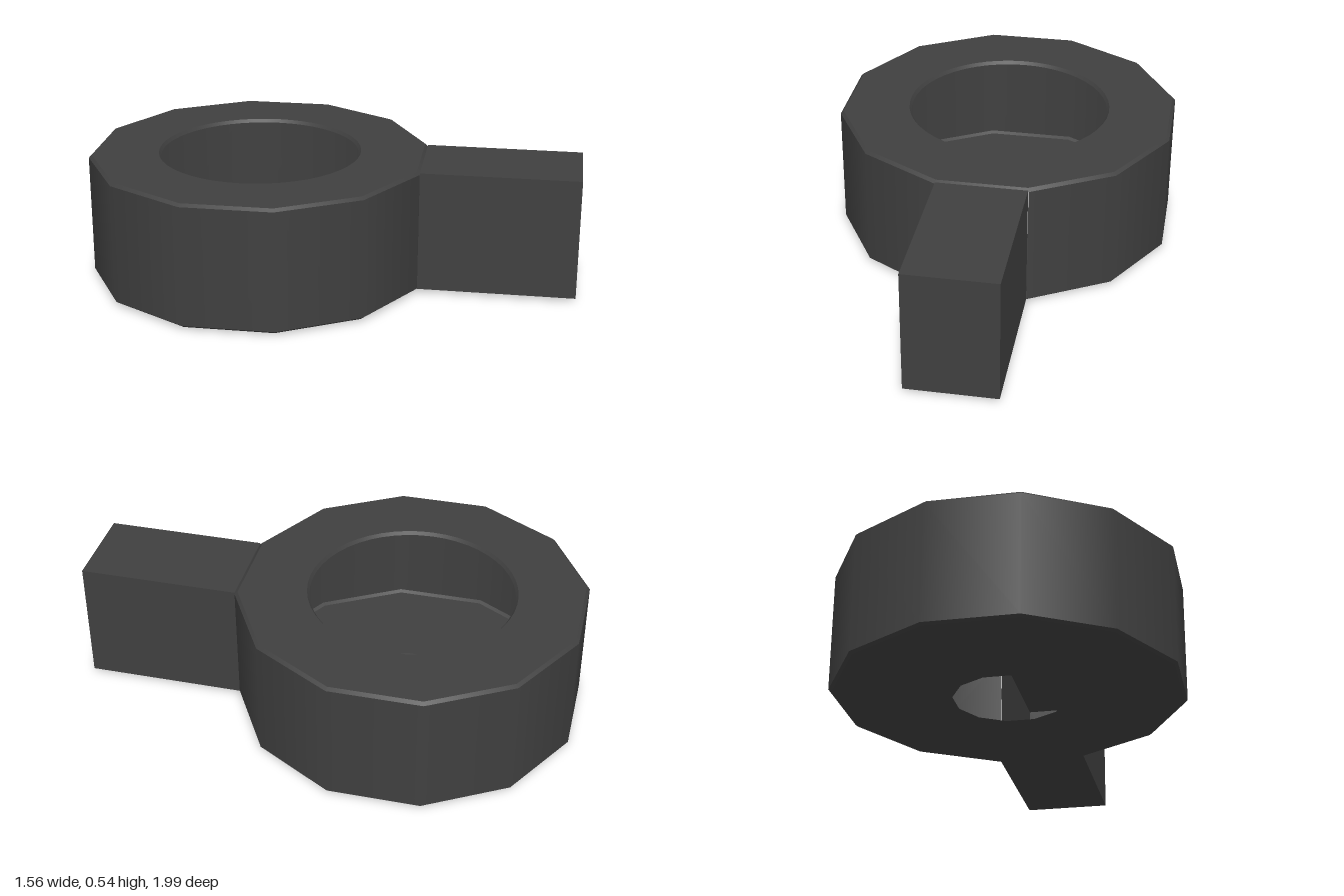
import * as THREE from 'three';

export function createModel() {
  const model = new THREE.Group();
  const charcoal = new THREE.MeshStandardMaterial({ color: 0x404040, side: THREE.DoubleSide });
  charcoal.name = 'charcoal';

  // Hollow twelve-sided housing, offset to make room for the handle
  const R = 0.733, SIDES = 12, STEP = Math.PI / 6;
  const housing = new THREE.Group();
  housing.name = 'housing';
  housing.position.set(-0.075, 0, -0.29);
  model.add(housing);

  const add = (name, geometry) => {
    const mesh = new THREE.Mesh(geometry, charcoal);
    mesh.name = name;
    housing.add(mesh);
    return mesh;
  };
  const turn = (points, sides = SIDES, start = STEP / 2, sweep = Math.PI * 2) =>
    new THREE.LatheGeometry(points.map(([r, y]) => new THREE.Vector2(r, y)), sides, start, sweep);

  // Outer wall: one of the twelve sides is left open into the handle
  add('outerWall', turn([[R, 0.018], [R, 0.53]], SIDES - 1, STEP * 1.5, STEP * 11));

  // Narrow bevels at the top and bottom edges
  add('topBevel', turn([[R, 0.53], [R - 0.013, 0.542]]));
  add('bottomBevel', turn([[R - 0.013, 0.008], [R, 0.018]]));

  // Floor with a small twelve-sided hole, slightly lipped downward
  add('floor', turn([[0.26, 0.008], [R - 0.013, 0.008]]));
  add('floorHoleLip', turn([[0.232, 0], [0.26, 0.008]]));

  // Flat top with a large round opening
  const top = new THREE.Shape();
  for (let i = 0; i < SIDES; i++) {
    const a = (i + 0.5) * STEP, r = R - 0.013;
    top[i ? 'lineTo' : 'moveTo'](r * Math.cos(a), r * Math.sin(a));
  }
  top.closePath();
  top.holes.push(new THREE.Path().absarc(0, 0, 0.435, 0, Math.PI * 2, true));
  const topGeometry = new THREE.ShapeGeometry(top, 24);
  topGeometry.rotateX(-Math.PI / 2);
  topGeometry.translate(0, 0.542, 0);
  add('topPlate', topGeometry);
  add('openingLip', turn([[0.435, 0.542], [0.425, 0.528]], 48));

  // Hollow rectangular handle, open where it meets the housing
  const length = 0.667, apothem = R * Math.cos(STEP / 2);
  const box = new THREE.BoxGeometry(0.376, 0.521, length);
  box.setIndex(Array.from(box.index.array).slice(0, 30));
  box.clearGroups();
  box.translate(0, 0.276, apothem + length / 2);
  add('handle', box).rotation.y = STEP;

  return model;
}
